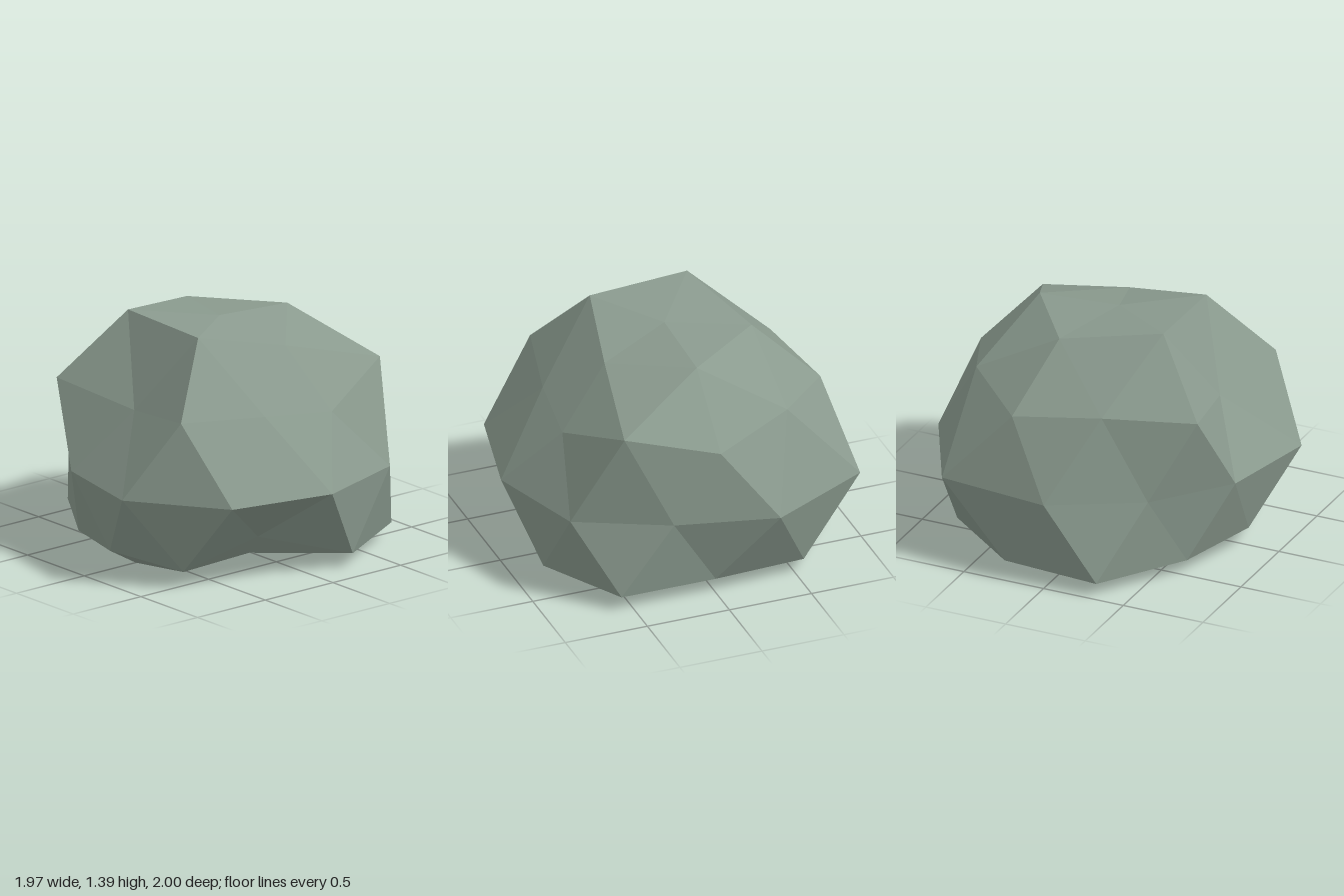
import * as THREE from 'three';

// Each ring lists [radius, height]; its points are evenly spaced around y.
function ring(start, pairs) {
  return pairs.map(([r, y], i) => {
    const a = start + (i * Math.PI * 2) / pairs.length;
    return [r * Math.cos(a), y, r * Math.sin(a)];
  });
}

export function createModel() {
  const step = Math.PI / 5;
  const top = [0, 1.345, 0];
  const bottom = [0, 0, 0];
  const crown = ring(0, [[0.5, 1.315], [0.44, 1.24], [0.5, 1.365], [0.52, 1.39], [0.495, 1.31]]);
  const shoulder = ring(0, [
    [0.87, 0.95], [0.91, 1.08], [0.75, 0.9], [0.69, 0.945], [0.9, 0.98],
    [0.63, 0.91], [0.925, 0.995], [0.78, 1.01], [0.885, 0.96], [0.825, 1.03],
  ]);
  const waist = ring(step / 2,
    [0.885, 0.995, 0.995, 1.055, 1.04, 0.905, 0.88, 1.0, 1.145, 1.035].map((r) => [r, 0.525]));
  const foot = ring(0, [
    [0.79, 0.09], [0.975, 0.09], [0.89, 0.08], [0.58, 0.2], [0.845, 0.08],
    [0.81, 0.11], [0.8, 0.08], [1.015, 0.08], [0.945, 0.07], [0.935, 0.085],
  ]);
  const base = ring(step, [[0.565, 0.03], [0.45, 0.065], [0.62, 0], [0.52, 0.03], [0.55, 0.03]]);

  const positions = [];
  const tri = (...corners) => corners.forEach((p) => positions.push(...p));
  const at = (points, i) => points[(i + points.length) % points.length];

  // Caps: five-point rings joined to the poles and to the ten-point rings
  for (let i = 0; i < 5; i++) {
    const a = crown[i], a2 = at(crown, i + 1);
    const s = (k) => at(shoulder, 2 * i + k);
    tri(top, a2, a);
    tri(a, s(0), s(-1));
    tri(a, s(1), s(0));
    tri(a, a2, s(1));

    const b = base[i], b2 = at(base, i + 1);
    const f = (k) => at(foot, 2 * i + 1 + k);
    tri(bottom, b, b2);
    tri(b, f(-1), f(0));
    tri(b, f(0), f(1));
    tri(b, f(1), b2);
  }
  // Sides: two zigzag bands above and below the waist
  for (let j = 0; j < 10; j++) {
    const w = waist[j], w0 = at(waist, j - 1);
    tri(shoulder[j], at(shoulder, j + 1), w);
    tri(shoulder[j], w, w0);
    tri(foot[j], w, at(foot, j + 1));
    tri(foot[j], w0, w);
  }

  const geometry = new THREE.BufferGeometry();
  geometry.setAttribute('position', new THREE.Float32BufferAttribute(positions, 3));
  geometry.computeVertexNormals();

  const stone = new THREE.MeshStandardMaterial({ color: 0x8a9a8e, flatShading: true });
  stone.name = 'greyGreenStone';
  const boulder = new THREE.Mesh(geometry, stone);
  boulder.name = 'boulder';
  const group = new THREE.Group();
  group.name = 'rock';
  group.add(boulder);
  return group;
}
